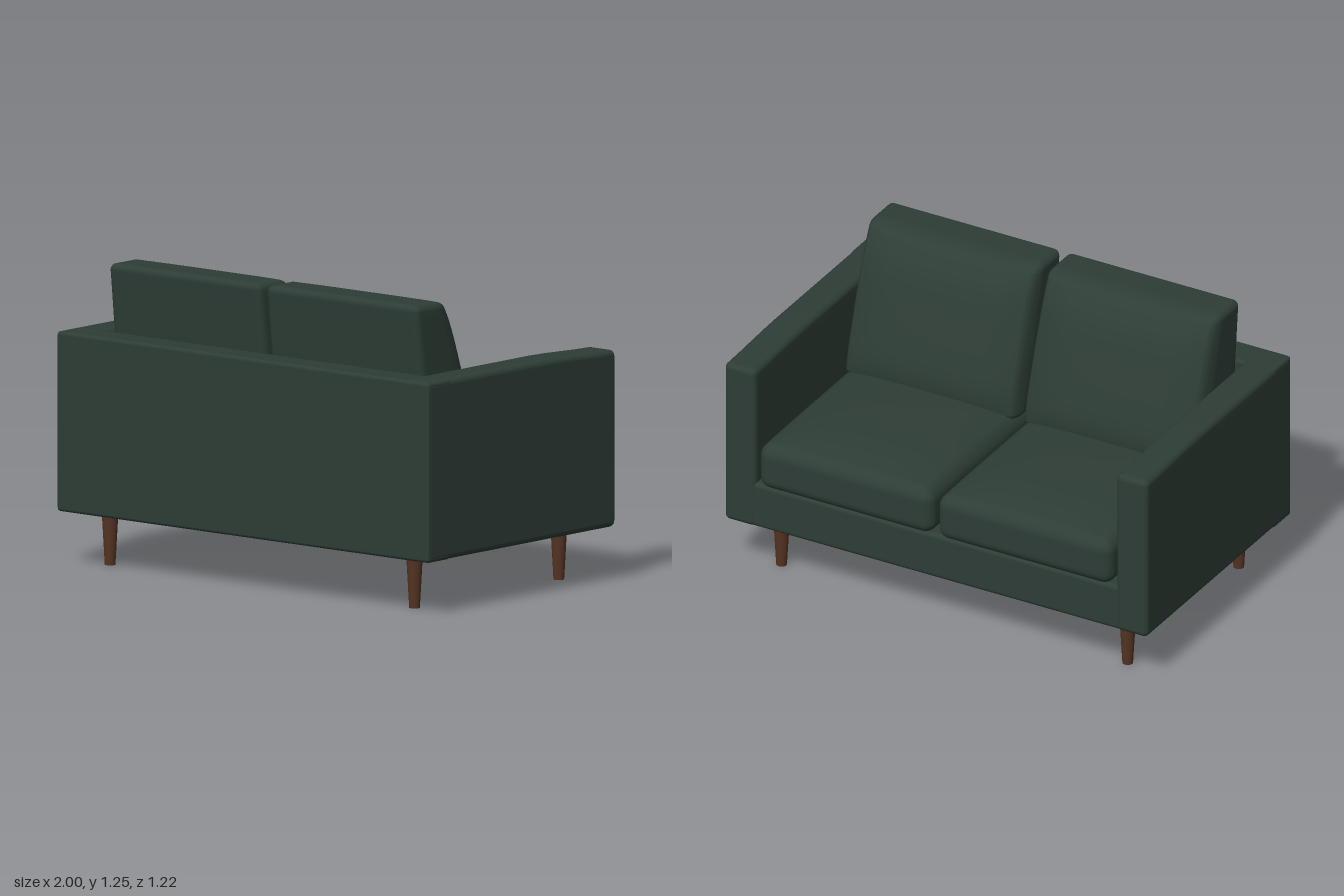
import * as THREE from 'three';
import { mergeVertices } from 'three/addons/utils/BufferGeometryUtils.js';

const fabric = new THREE.MeshStandardMaterial({ color: 0x2e3d36 });
fabric.name = 'dark green fabric';
const wood = new THREE.MeshStandardMaterial({ color: 0x553422 });
wood.name = 'brown wood';

const EDGE = 4, INNER = 12, SEGS = EDGE * 2 + INNER;

// Rounded block with evenly divided faces; rule(p, u) may then reshape it,
// where u holds the position from -1 to 1 on each axis.
function softBlock(w, h, d, r, rule) {
  const box = new THREE.BoxGeometry(2, 2, 2, SEGS, SEGS, SEGS);
  box.deleteAttribute('uv');
  box.deleteAttribute('normal');
  const geo = mergeVertices(box);
  const pos = geo.attributes.position;
  const half = [w / 2, h / 2, d / 2];
  const p = new THREE.Vector3(), u = new THREE.Vector3();
  const core = new THREE.Vector3(), dir = new THREE.Vector3();
  for (let i = 0; i < pos.count; i++) {
    p.fromBufferAttribute(pos, i);
    for (let a = 0; a < 3; a++) {
      const t = p.getComponent(a) * SEGS / 2;
      const flat = half[a] - r;
      const over = Math.max(0, Math.abs(t) - INNER / 2) / EDGE;
      core.setComponent(a, THREE.MathUtils.clamp(t / (INNER / 2), -1, 1) * flat);
      dir.setComponent(a, Math.sign(t) * Math.tan(over * Math.PI / 4));
    }
    p.copy(core).addScaledVector(dir.normalize(), r);
    u.set(p.x / half[0], p.y / half[1], p.z / half[2]);
    if (rule) rule(p, u);
    pos.setXYZ(i, p.x, p.y, p.z);
  }
  geo.computeVertexNormals();
  return geo;
}

// Pillow dome: zero at the seams, one in the middle
const dome = (a, b, power) =>
  Math.pow(Math.max(0, (1 - a ** 4) * (1 - b ** 4)), power);

export function createModel() {
  const sofa = new THREE.Group();
  sofa.name = 'sofa';
  const add = (name, geometry, material, x, y, z) => {
    const mesh = new THREE.Mesh(geometry, material);
    mesh.name = name;
    mesh.position.set(x, y, z);
    sofa.add(mesh);
  };

  // Arms, with the top dipping a little towards the front
  const arm = softBlock(0.148, 0.75, 1.195, 0.025, (p, u) => {
    if (u.y > 0) p.y -= 0.014 * u.y * THREE.MathUtils.smoothstep(-u.z, 0.3, 1);
  });
  for (const side of [-1, 1]) {
    add(side < 0 ? 'rightArm' : 'leftArm', arm, fabric, side * 0.926, 0.598, 0.0125);
  }

  // Back panel and seat base
  add('backPanel', softBlock(1.998, 0.748, 0.145, 0.014), fabric, 0, 0.597, 0.5375);
  add('seatBase', softBlock(1.9, 0.205, 1.16, 0.02), fabric, 0, 0.3265, 0);

  // Seat cushions, crowned on top
  const seat = softBlock(0.822, 0.2, 1.05, 0.05, (p, u) => {
    if (u.y > 0) p.y += 0.045 * u.y * dome(u.x, u.z, 1);
  });

  // Back cushions: a leaning wedge, thicker at the bottom, with a domed front
  const back = softBlock(0.822, 0.635, 0.2, 0.03, (p, u) => {
    const y = 0.9375 + p.y;
    const rear = 0.475 + (y - 1.2) * 0.11;
    const seam = 0.31 + (y - 1.255) * 0.32;
    p.z = THREE.MathUtils.lerp(seam, rear, (u.z + 1) / 2);
    if (u.z < -0.69) p.z -= 0.095 * dome(u.x, u.y, 0.5) * THREE.MathUtils.smoothstep(-u.z, 0.69, 0.95);
    p.x *= 1 - 0.012 * Math.max(0, u.y);
  });
  for (const side of [-1, 1]) {
    const label = side < 0 ? 'right' : 'left';
    const x = side * 0.4225 - 0.005;
    add(label + 'SeatCushion', seat, fabric, x, 0.53, -0.087);
    add(label + 'BackCushion', back, fabric, x, 0.9375, 0);
  }

  // Tapered legs
  const leg = new THREE.CylinderGeometry(0.035, 0.022, 0.23, 24);
  for (const x of [-0.833, 0.803]) {
    for (const z of [-0.45, 0.465]) {
      add(z < 0 ? 'frontLeg' : 'backLeg', leg, wood, x, 0.115, z);
    }
  }
  return sofa;
}
